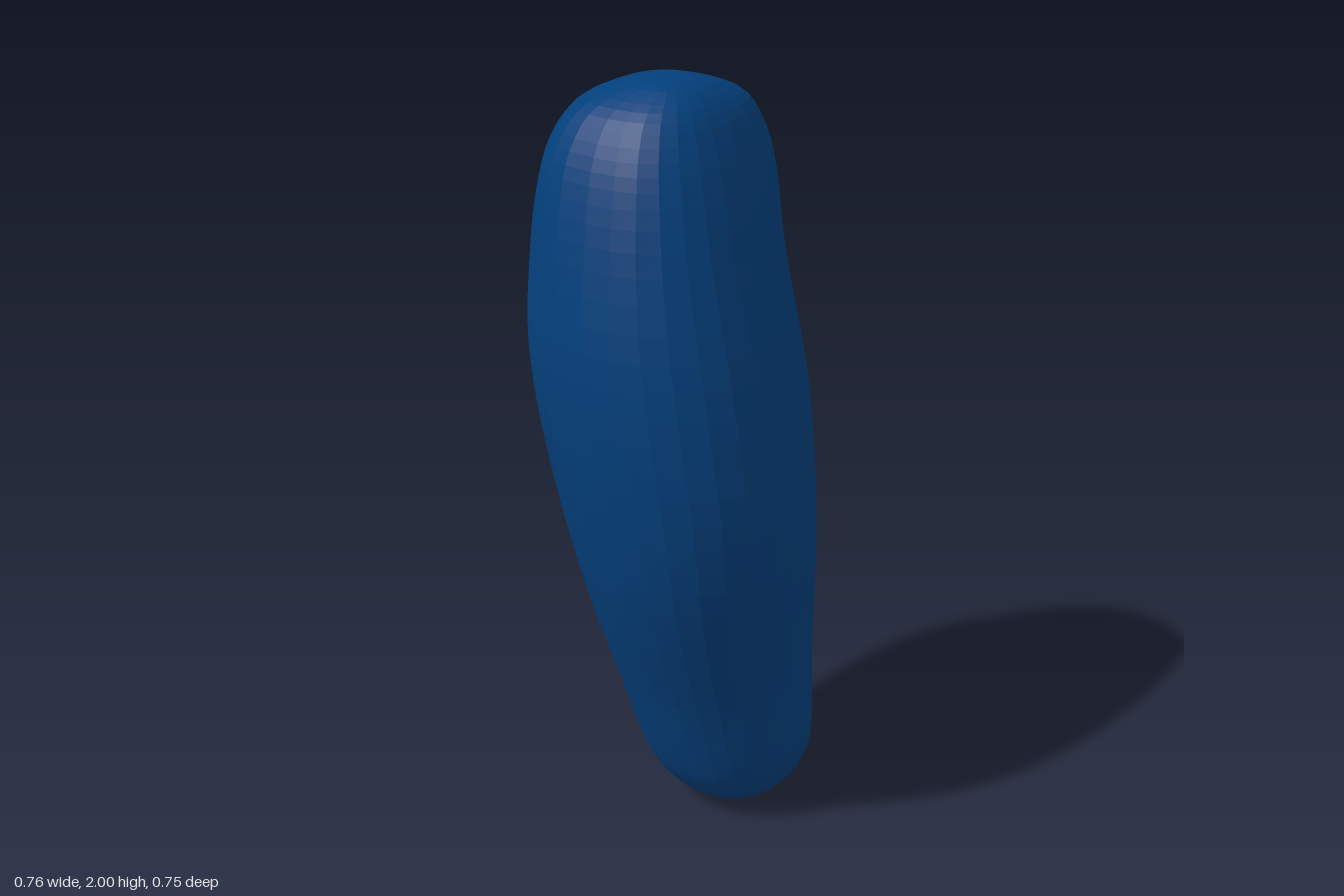
import * as THREE from 'three';

// Cross-sections from bottom to top: y, xMin, xMax, zMin, zMax
const SECTIONS = [
  [0.0, 0.125, 0.125, -0.1, -0.1],
  [0.005, 0.07, 0.172, -0.153, -0.052],
  [0.02, 0.02, 0.217, -0.205, -0.007],
  [0.06, -0.042, 0.277, -0.277, 0.047],
  [0.12, -0.092, 0.312, -0.325, 0.094],
  [0.2, -0.124, 0.329, -0.345, 0.13],
  [0.4, -0.166, 0.333, -0.357, 0.197],
  [0.6, -0.214, 0.35, -0.37, 0.27],
  [0.8, -0.266, 0.371, -0.374, 0.326],
  [1.0, -0.321, 0.379, -0.367, 0.358],
  [1.2, -0.364, 0.359, -0.372, 0.373],
  [1.4, -0.378, 0.321, -0.352, 0.367],
  [1.6, -0.348, 0.267, -0.318, 0.338],
  [1.75, -0.316, 0.225, -0.306, 0.304],
  [1.85, -0.284, 0.19, -0.284, 0.268],
  [1.93, -0.229, 0.15, -0.23, 0.215],
  [1.975, -0.142, 0.105, -0.125, 0.145],
  [1.995, -0.05, 0.06, -0.03, 0.09],
  [2.0, 0.005, 0.005, 0.035, 0.035],
];
const RINGS = 54;
const SIDES = 28;

// Lofts rounded-square rings along the leaning, tapering body
function loftBody() {
  const { smoothstep, clamp } = THREE.MathUtils;
  const curve = (f) => new THREE.CatmullRomCurve3(SECTIONS.map(f), false, 'catmullrom', 0.5);
  const centre = curve(([y, a, b, c, d]) => new THREE.Vector3((a + b) / 2, y, (c + d) / 2));
  const radius = curve(([, a, b, c, d]) => new THREE.Vector3((b - a) / 2, 0, (d - c) / 2));
  const squash = (v, p) => Math.sign(v) * Math.abs(v) ** (2 / p);

  const positions = [];
  const indices = [];
  for (let i = 0; i <= RINGS; i++) {
    const t = i / RINGS;
    const c = centre.getPoint(t);
    const r = radius.getPoint(t);
    // Squarer near the top, rounder through the middle
    const p = 2.15 + 0.35 * smoothstep(c.y, 1.4, 1.9);
    // The middle bulges diagonally, front left to back right
    const skew = 0.075 * smoothstep(c.y, 0.1, 1.1) * (1 - 0.7 * smoothstep(c.y, 1.4, 2));
    for (let j = 0; j < SIDES; j++) {
      const a = (j / SIDES) * Math.PI * 2;
      positions.push(
        c.x + r.x * squash(Math.sin(a + skew), p),
        clamp(c.y, 0, 2),
        c.z + r.z * squash(Math.cos(a - skew), p),
      );
      if (i === RINGS) continue;
      const k = (j + 1) % SIDES;
      const [p0, p1, p2, p3] = [i * SIDES + j, i * SIDES + k, (i + 1) * SIDES + k, (i + 1) * SIDES + j];
      // The end rings shrink to a point, so they need one triangle per side
      if (i > 0) indices.push(p0, p1, p2);
      if (i < RINGS - 1) indices.push(p0, p2, p3);
    }
  }
  const geometry = new THREE.BufferGeometry();
  geometry.setAttribute('position', new THREE.Float32BufferAttribute(positions, 3));
  geometry.setIndex(indices);
  geometry.computeVertexNormals();
  return geometry;
}

export function createModel() {
  const group = new THREE.Group();
  group.name = 'roundedPod';
  const material = new THREE.MeshStandardMaterial({ color: 0x033f7b, flatShading: true });
  const body = new THREE.Mesh(loftBody(), material);
  body.name = 'body';
  group.add(body);
  return group;
}
